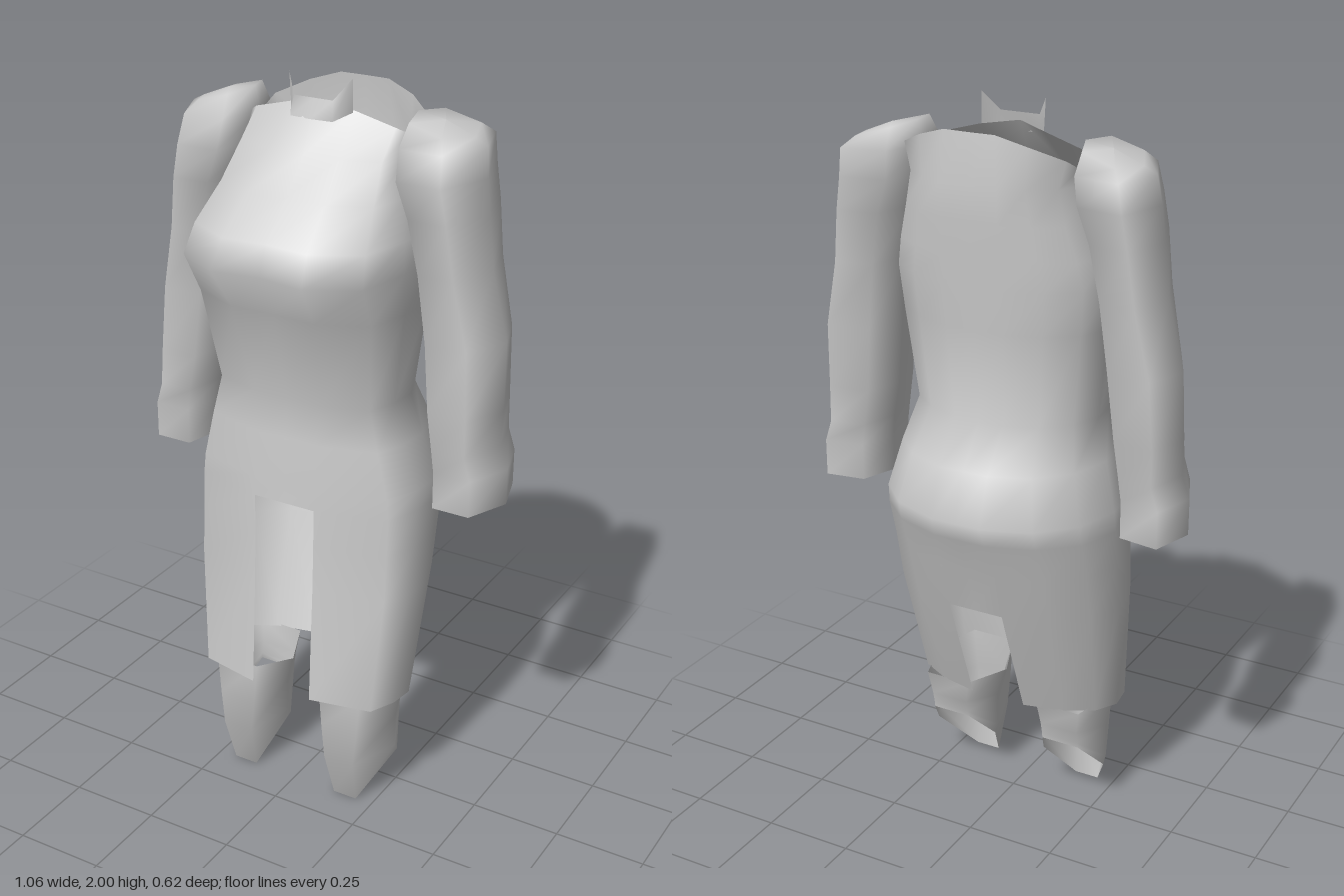
import * as THREE from 'three';

const cloth = new THREE.MeshStandardMaterial({ color: 0xcccccc, side: THREE.DoubleSide });
cloth.name = 'grey cloth';

// Skin between rings of points, listed from top to bottom; skip(r, c) leaves a hole
function loft(name, rings, { closed = true, skip = () => false } = {}) {
  const n = rings[0].length, index = [];
  for (let r = 0; r < rings.length - 1; r++) {
    for (let c = 0; c < (closed ? n : n - 1); c++) {
      if (skip(r, c)) continue;
      const d = (c + 1) % n;
      const a = r * n + c, b = r * n + d, e = a + n, f = b + n;
      index.push(a, e, b, b, e, f);
    }
  }
  const geometry = new THREE.BufferGeometry();
  geometry.setAttribute('position', new THREE.Float32BufferAttribute(rings.flat(2), 3));
  geometry.setIndex(index);
  geometry.computeVertexNormals();
  const mesh = new THREE.Mesh(geometry, cloth);
  mesh.name = name;
  return mesh;
}

const flip = ([x, y, z]) => [-x, y, z];
const mirrorRing = (ring) => ring.map(flip).reverse();

// Half a ring, front centre to back centre, completed on the other side
const wholeRing = (half) => [...half, ...half.slice(1, -1).reverse().map(flip)];

function makeDress() {
  // y, half width, side z, front z, back z, front inner x, back inner x, centre setback
  const rows = [
    [1.82, 0.235, -0.08, 0.085, -0.233, 0.1, 0.08, 0],
    [1.73, 0.255, -0.08, 0.17, -0.228, 0.11, 0.08, 0],
    [1.64, 0.285, -0.06, 0.27, -0.22, 0.12, 0.08, 0.01],
    [1.565, 0.3, -0.05, 0.31, -0.215, 0.13, 0.08, 0.02],
    [1.45, 0.29, -0.04, 0.235, -0.205, 0.12, 0.08, 0.005],
    [1.2, 0.26, -0.02, 0.17, -0.185, 0.1, 0.07, 0],
    [1.09, 0.29, -0.03, 0.18, -0.27, 0.09, 0.07, 0],
    [0.96, 0.325, -0.05, 0.185, -0.31, 0.09, 0.07, 0],
    [0.905, 0.33, -0.05, 0.188, -0.29, 0.09, 0.075, 0],
    [0.8, 0.33, -0.03, 0.19, -0.25, 0.09, 0.08, 0],
    [0.665, 0.33, -0.01, 0.195, -0.21, 0.09, 0.08, 0],
    [0.335, 0.305, 0.04, 0.215, -0.09, 0.09, 0.08, 0],
  ];
  const neckline = [
    [0, 1.93, 0.035], [0.09, 1.92, -0.01], [0.2, 1.89, -0.02], [0.225, 1.875, -0.04],
    [0.23, 1.86, -0.09], [0.225, 1.89, -0.15], [0.15, 1.925, -0.2],
    [0.07, 1.95, -0.22], [0, 1.95, -0.222],
  ];
  const rings = rows.map(([y, w, zs, zf, zb, xf, xb, setback]) => {
    const z = (end, t) => zs + (end - zs) * t;
    return wholeRing([
      [0, y, zf - setback], [xf, y, zf], [w * 0.86, y, z(zf, 0.8)], [w * 0.97, y, z(zf, 0.39)],
      [w, y, zs], [w * 0.88, y, z(zb, 0.48)], [w * 0.61, y, z(zb, 0.82)],
      [xb, y, zb], [0, y, zb],
    ]);
  });
  rings.unshift(wholeRing(neckline));
  // Slits at the front and back of the skirt
  const skip = (r, c) => (r >= 9 && (c === 0 || c === 15)) || (r >= 11 && (c === 7 || c === 8));
  return loft('dress', rings, { skip });
}

function makeCollar() {
  const half = [
    [[0.09, 2, 0], [0.055, 1.95, 0.035], [0, 1.95, 0.035]],
    [[0.088, 1.915, -0.005], [0.06, 1.9, 0.045], [0, 1.9, 0.05]],
  ];
  const rings = half.map((row) => [...row.map(flip), ...row.slice(0, -1).reverse()]);
  return loft('collar', rings, { closed: false });
}

function sleeveRings() {
  // y, inner x, outer x, front z, back z, tilt
  const rows = [
    [1.905, 0.235, 0.39, 0.025, -0.165, 0.022],
    [1.865, 0.22, 0.425, 0.06, -0.198, 0],
    [1.79, 0.225, 0.435, 0.082, -0.195, 0],
    [1.7, 0.262, 0.445, 0.08, -0.19, 0],
    [1.56, 0.29, 0.46, 0.07, -0.18, 0],
    [1.38, 0.305, 0.505, 0.06, -0.17, 0],
    [1.2, 0.325, 0.51, 0.07, -0.16, 0],
    [1.1, 0.345, 0.507, 0.075, -0.16, 0],
    [1.04, 0.35, 0.53, 0.075, -0.16, 0],
    [0.94, 0.35, 0.53, 0.075, -0.16, 0],
  ];
  // Position across the width and from front to back
  const outline = [[0.15, 0], [0.72, 0], [1, 0.5], [0.8, 1], [0.2, 0.93], [0, 0.5]];
  const rings = rows.map(([y, xi, xo, zf, zb, tilt]) =>
    outline.map(([u, v]) => [xi + (xo - xi) * u, y + tilt * (1 - 2 * u), zf + (zb - zf) * v]));
  // Closed shoulder
  rings.unshift(outline.map(() => [0.31, 1.915, -0.07]));
  return rings;
}

// Trouser leg, pointed at the front and cut away behind
const legRings = [
  [[0.1, 0.36, 0.18], [0.23, 0.36, 0.18], [0.28, 0.35, 0.06],
    [0.24, 0.34, -0.07], [0.11, 0.34, -0.07], [0.055, 0.335, 0.06]],
  [[0.11, 0.24, 0.182], [0.22, 0.24, 0.182], [0.27, 0.25, 0.05],
    [0.23, 0.27, -0.06], [0.12, 0.27, -0.06], [0.08, 0.25, 0.05]],
  [[0.12, 0.14, 0.183], [0.21, 0.14, 0.183], [0.27, 0.15, 0.05],
    [0.23, 0.235, -0.052], [0.12, 0.235, -0.052], [0.08, 0.15, 0.05]],
  [[0.13, 0, 0.145], [0.2, 0, 0.145], [0.27, 0.13, 0.035],
    [0.23, 0.22, -0.05], [0.12, 0.22, -0.05], [0.08, 0.13, 0.035]],
];

export function createModel() {
  const group = new THREE.Group();
  group.name = 'outfit';
  group.add(makeDress(), makeCollar());
  for (const [part, rings] of [['Sleeve', sleeveRings()], ['TrouserLeg', legRings]]) {
    group.add(loft('left' + part, rings), loft('right' + part, rings.map(mirrorRing)));
  }
  return group;
}
